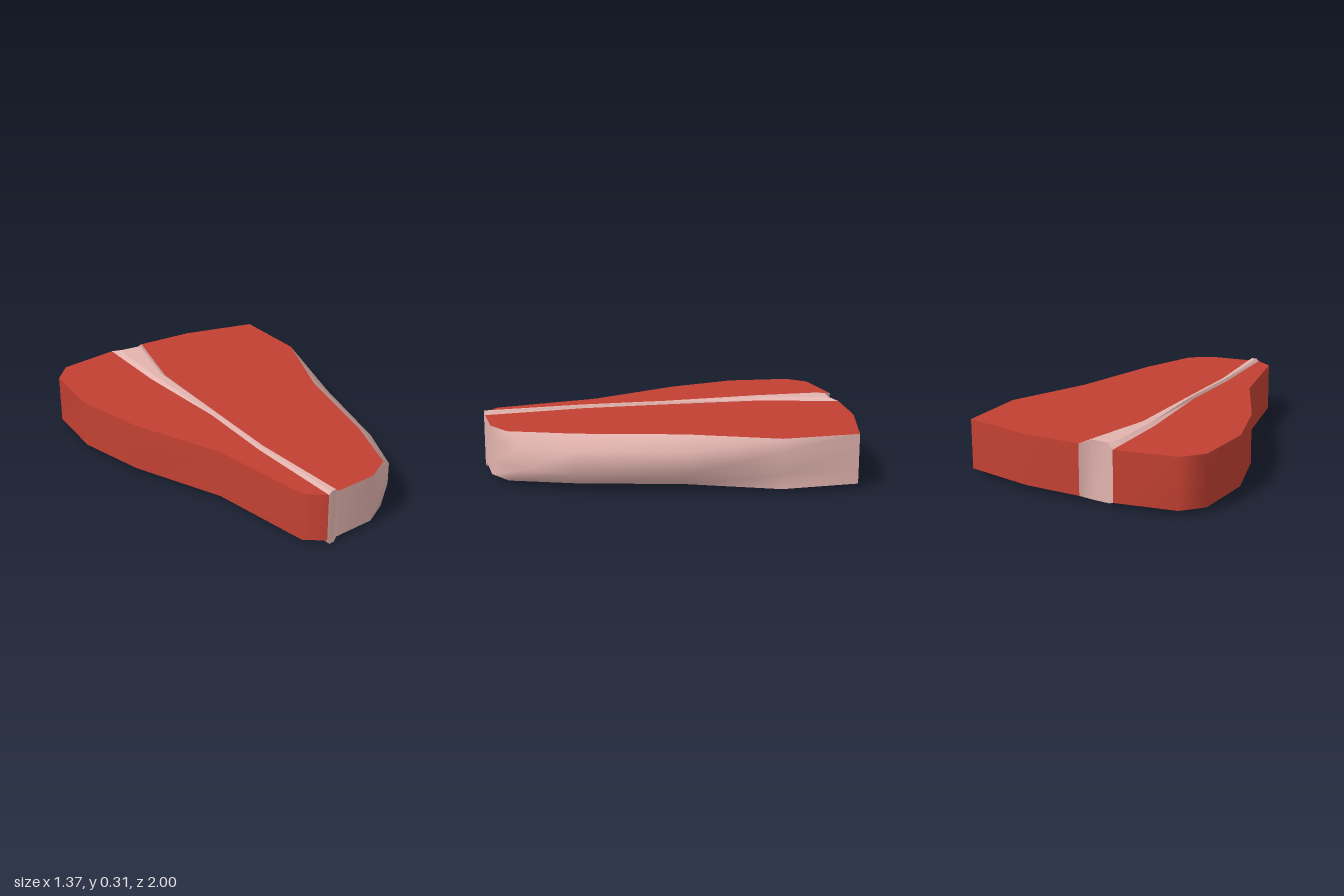
import * as THREE from 'three';

const TOP = 0.29, BOTTOM = 0.025;

// Grid surface: rows run top to bottom, points left to right seen from outside
function sheet(rows, flat) {
  const n = rows[0].length, index = [];
  for (let r = 0; r < rows.length - 1; r++) {
    for (let i = 0; i < n - 1; i++) {
      const a = r * n + i, b = a + 1, c = a + n, d = c + 1;
      index.push(a, c, b, b, c, d);
    }
  }
  let g = new THREE.BufferGeometry();
  g.setAttribute('position', new THREE.Float32BufferAttribute(rows.flat(2), 3));
  g.setIndex(index);
  if (flat) g = g.toNonIndexed();
  g.computeVertexNormals();
  return g;
}

const level = (pts, y) => pts.map(([x, z]) => [x, y, z]);

// Flat cut face of a lobe
function cap(pts, y, up) {
  const s = new THREE.Shape(pts.map(([x, z]) => new THREE.Vector2(x, up ? -z : z)));
  return new THREE.ShapeGeometry(s).rotateX(up ? -Math.PI / 2 : Math.PI / 2).translate(0, y, 0);
}

export function createModel() {
  const group = new THREE.Group();
  const meat = new THREE.MeshStandardMaterial({ color: 0xc24032 });
  meat.name = 'red meat';
  const fat = new THREE.MeshStandardMaterial({ color: 0xe2b4af });
  fat.name = 'pale fat';
  const add = (name, geo, mat) => {
    const m = new THREE.Mesh(geo, mat);
    m.name = name;
    group.add(m);
  };

  // Outlines as [x, z]
  const smallSide = [[-0.25, -1], [-0.575, -0.955], [-0.67, -0.85], [-0.685, -0.5],
    [-0.58, -0.13], [-0.35, 0.36], [-0.23, 0.92], [-0.13, 0.995]];
  const largeBack = [[0.655, -0.88], [0.26, -0.975], [-0.055, -0.99]];
  const fatEdge = [[-0.07, 0.99], [0.16, 0.97], [0.29, 0.89], [0.4, 0.55],
    [0.51, 0], [0.68, -0.47], [0.655, -0.88]];
  const fatBulge = [[-0.07, 0.99], [0.16, 0.97], [0.38, 0.83], [0.485, 0.55],
    [0.605, 0], [0.68, -0.47], [0.655, -0.88]];
  // Borders of the bone strip, back to front
  const boneLeft = [[-0.25, -1], [-0.247, -0.9], [-0.235, -0.55], [-0.175, 0], [-0.17, 0.45], [-0.13, 0.995]];
  const boneRight = [[-0.055, -0.99], [-0.073, -0.9], [-0.145, -0.55], [-0.145, 0], [-0.135, 0.45], [-0.07, 0.99]];

  // Cut faces of both lobes
  const smallLobe = [...smallSide, ...boneLeft.slice(1, -1).reverse()];
  const largeLobe = [...fatEdge, ...largeBack.slice(1), ...boneRight.slice(1, -1)];
  for (const [name, pts] of [['smallLobe', smallLobe], ['largeLobe', largeLobe]]) {
    add(name + 'Top', cap(pts, TOP, true), meat);
    add(name + 'Bottom', cap(pts, BOTTOM, false), meat);
  }

  // Meat walls
  add('smallLobeWall', sheet([level(smallSide, TOP), level(smallSide, BOTTOM)]), meat);
  add('largeLobeBackWall', sheet([level(largeBack, TOP), level(largeBack, BOTTOM)]), meat);

  // Rounded fat rim
  add('fatRim', sheet([level(fatEdge, TOP), level(fatBulge, 0.22),
    level(fatBulge, 0.1), level(fatEdge, BOTTOM)]), fat);

  // Raised bone strip with bevelled borders and a notched back end
  const strip = (edgeY, ridgeY) => boneLeft.map(([lx, lz], i) => {
    const [rx, rz] = boneRight[i], w = rx - lx;
    const inset = i === 0 ? 0.25 : Math.min(0.028, w * 0.25);
    const dz = i === 0 ? 0.045 : 0;
    const in0 = i === 0 ? w * inset : inset;
    return [[lx, edgeY, lz], [lx + in0, ridgeY, lz + dz],
      [rx - in0, ridgeY, rz + dz], [rx, edgeY, rz]];
  });
  const upper = strip(TOP, 0.305), lower = strip(BOTTOM, 0);
  const flip = (row) => [...row].reverse();
  add('boneTop', sheet(upper, true), fat);
  add('boneBottom', sheet(lower.map(flip), true), fat);
  add('boneBackEnd', sheet([flip(upper[0]), flip(lower[0])]), fat);
  add('boneFrontEnd', sheet([upper[5], lower[5]]), fat);

  return group;
}
